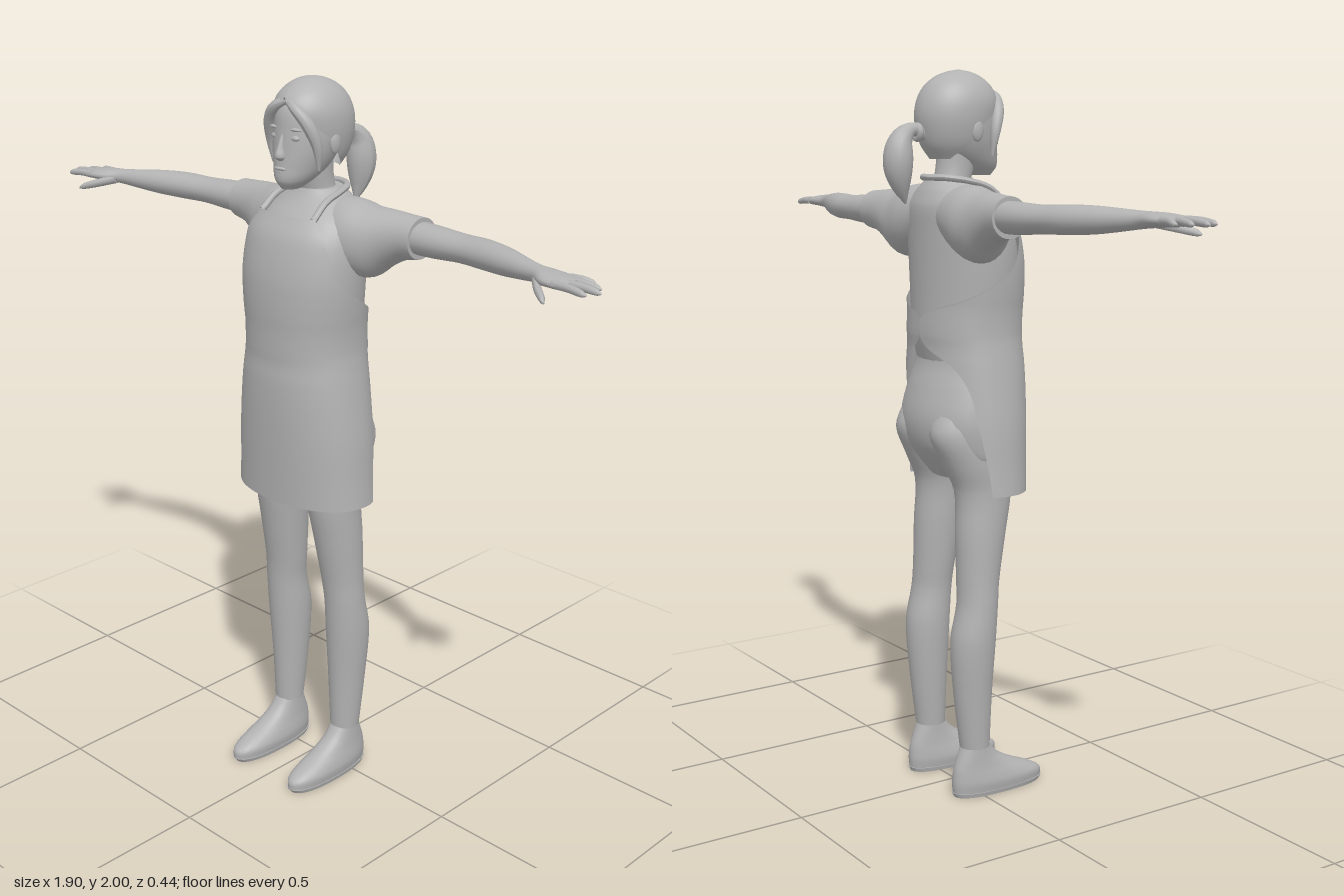
import * as THREE from 'three';

const clay = new THREE.MeshStandardMaterial({ color: 0xb2b2b2, side: THREE.DoubleSide });
clay.name = 'clay grey';

// Smoothly fills in rows between key sections; column 0 is the position along the axis
function refine(keys, steps) {
  const slope = (i, k) => {
    const a = keys[Math.max(i - 1, 0)], b = keys[Math.min(i + 1, keys.length - 1)];
    return (b[k] - a[k]) / (b[0] - a[0]);
  };
  const rows = [];
  for (let i = 0; i < keys.length - 1; i++) {
    const d = keys[i + 1][0] - keys[i][0];
    for (let s = 0; s < steps; s++) {
      const u = s / steps, u2 = u * u, u3 = u2 * u;
      rows.push(keys[i].map((v, k) => k === 0 ? v + d * u :
        (2 * u3 - 3 * u2 + 1) * v + (u3 - 2 * u2 + u) * d * slope(i, k)
        + (3 * u2 - 2 * u3) * keys[i + 1][k] + (u3 - u2) * d * slope(i + 1, k)));
    }
  }
  rows.push(keys[keys.length - 1]);
  return rows;
}

// Lofts ellipses along y: [y, cx, cz, rx, rz, halfAngle?], or along x: [x, cz, cy, rz, ry].
// A half angle leaves the shell open; facing is the angle of its middle.
function loft(keys, { axis = 'y', sides = 28, steps = 4, power = 1, facing = 0 } = {}) {
  const rows = refine(keys, steps), open = keys[0].length > 5;
  const pos = [], index = [], n = open ? sides + 1 : sides;
  const put = (p, t, q) => axis === 'y' ? pos.push(p, t, q) : pos.push(t, q, p);
  const bend = v => Math.sign(v) * Math.abs(v) ** power;
  const ring = ([t, a, b, ra, rb, half]) => {
    for (let j = 0; j < n; j++) {
      const h = Math.min(half ?? Math.PI, Math.PI);
      const th = facing + (open ? -h + 2 * h * j / sides : 2 * Math.PI * j / sides);
      put(a + ra * bend(Math.sin(th)), t, b + rb * bend(Math.cos(th)));
    }
  };
  rows.forEach(ring);
  for (let i = 0; i < rows.length - 1; i++) {
    for (let j = 0; j < sides; j++) {
      const a = i * n + j, b = i * n + (j + 1) % n;
      index.push(a, b, b + n, a, b + n, a + n);
    }
  }
  if (!open) {
    // Flat end caps with their own vertices, for a crisp rim
    [rows[0], rows[rows.length - 1]].forEach((row, end) => {
      const start = pos.length / 3;
      ring(row);
      put(row[1], row[0], row[2]);
      for (let j = 0; j < n; j++) {
        const a = start + j, b = start + (j + 1) % n;
        index.push(start + n, end ? a : b, end ? b : a);
      }
    });
  }
  const g = new THREE.BufferGeometry();
  g.setAttribute('position', new THREE.Float32BufferAttribute(pos, 3));
  g.setIndex(index);
  g.computeVertexNormals();
  return g;
}

// Tube along a smooth path whose thickness follows radius(u)
function sweep(points, radius, sides = 14, n = 24) {
  const curve = new THREE.CatmullRomCurve3(points.map(p => new THREE.Vector3(...p)));
  const g = new THREE.TubeGeometry(curve, n, 1, sides), p = g.attributes.position;
  const v = new THREE.Vector3();
  for (let i = 0; i < p.count; i++) {
    const u = Math.floor(i / (sides + 1)) / n, c = curve.getPointAt(u);
    v.fromBufferAttribute(p, i).sub(c).multiplyScalar(radius(u)).add(c);
    p.setXYZ(i, v.x, v.y, v.z);
  }
  g.computeVertexNormals();
  return g;
}

function ball(x, y, z, rx, ry, rz) {
  return new THREE.SphereGeometry(1, 16, 12).scale(rx, ry, rz).translate(x, y, z);
}

function mirrored(geometry) {
  const g = geometry.clone().scale(-1, 1, 1), ix = g.index;
  for (let i = 0; i < ix.count; i += 3) {
    const a = ix.getX(i);
    ix.setX(i, ix.getX(i + 1));
    ix.setX(i + 1, a);
  }
  g.computeVertexNormals();
  return g;
}

export function createModel() {
  const model = new THREE.Group();
  model.name = 'womanInApron';
  const add = (name, geometry) => {
    const mesh = new THREE.Mesh(geometry, clay);
    mesh.name = name;
    model.add(mesh);
  };
  const pair = (name, geometry) => {
    add(name + 'Left', geometry);
    add(name + 'Right', mirrored(geometry));
  };

  // Head and face
  add('head', loft([[1.722, 0, .085, .022, .03], [1.745, 0, .07, .046, .06], [1.78, 0, .045, .066, .083],
    [1.82, 0, .03, .08, .094], [1.87, 0, .015, .087, .104], [1.92, 0, .01, .084, .1], [1.965, 0, .01, .06, .07]]));
  add('neck', loft([[1.65, 0, -.02, .065, .06], [1.7, 0, -.01, .05, .052], [1.75, 0, .003, .047, .055], [1.81, 0, .01, .05, .06]]));
  add('nose', loft([[1.797, 0, .12, .009, .009], [1.807, 0, .124, .015, .017], [1.83, 0, .122, .009, .012], [1.865, 0, .113, .006, .007]], { sides: 12 }));
  add('upperLip', ball(0, 1.777, .126, .021, .005, .007));
  add('lowerLip', ball(0, 1.768, .122, .017, .005, .008));
  pair('eye', ball(.034, 1.855, .106, .015, .008, .009));
  pair('brow', ball(.035, 1.877, .106, .021, .005, .008));
  pair('ear', ball(.088, 1.84, .015, .01, .03, .018));

  // Hair: cap open at the face, parted locks and a ponytail
  add('hairCap', loft([[1.765, 0, 0, .058, .07, .9], [1.8, 0, 0, .08, .095, 1.5], [1.84, 0, 0, .092, .108, 1.7],
    [1.88, 0, .003, .097, .116, 2.2], [1.92, 0, .008, .094, .114, 2.65], [1.955, 0, .01, .079, .097, 3.14],
    [1.98, 0, .011, .055, .068, 3.14], [1.994, 0, .012, .03, .035, 3.14], [2, 0, .012, .002, .002, 3.14]],
  { facing: Math.PI, sides: 36 }));
  pair('frontLock', sweep([[.004, 1.945, .1], [.035, 1.93, .107], [.066, 1.895, .095], [.083, 1.84, .077], [.082, 1.775, .068]],
    u => .004 + .013 * Math.sin(Math.PI * (.12 + .88 * u))));
  add('hairTie', new THREE.TorusGeometry(.017, .009, 8, 16).translate(0, 1.835, -.118));
  add('ponytail', sweep([[0, 1.83, -.095], [0, 1.843, -.135], [0, 1.815, -.168], [0, 1.755, -.178], [0, 1.695, -.17], [0, 1.648, -.155]],
    u => u < .18 ? .018 : .018 + .03 * Math.sin(Math.PI * (u - .18) / .82) - .016 * (u - .18) / .82));

  // Shirt
  add('shirt', loft([[1.22, 0, .015, .15, .1], [1.3, 0, .028, .155, .133], [1.4, 0, .03, .165, .138], [1.5, 0, .028, .172, .138],
    [1.58, 0, .018, .17, .13], [1.64, 0, 0, .155, .112], [1.68, 0, -.012, .115, .086], [1.7, 0, -.015, .085, .072], [1.715, 0, -.015, .065, .062]], { sides: 36 }));
  pair('sleeve', loft([[.05, -.02, 1.62, .08, .075], [.13, -.023, 1.6, .09, .098], [.19, -.03, 1.592, .08, .094],
    [.24, -.04, 1.608, .066, .074], [.285, -.046, 1.618, .058, .06], [.33, -.05, 1.621, .056, .054]], { axis: 'x' }));

  // Arms and hands
  pair('arm', loft([[.28, -.05, 1.622, .048, .043], [.38, -.05, 1.621, .048, .041], [.47, -.045, 1.622, .044, .036],
    [.55, -.033, 1.624, .045, .037], [.63, -.01, 1.626, .04, .034], [.7, .014, 1.628, .031, .027],
    [.755, .032, 1.63, .027, .021], [.8, .045, 1.631, .044, .018], [.85, .05, 1.63, .045, .014], [.872, .05, 1.629, .038, .01]], { axis: 'x', sides: 20 }));
  const fingers = [['littleFinger', .012, .003, .9], ['ringFinger', .036, .027, .93], ['middleFinger', .06, .057, .95], ['indexFinger', .083, .092, .935]];
  for (const [name, z0, z1, tip] of fingers) {
    pair(name, loft([[.835, z0, 1.631, .011, .011], [(.835 + tip) / 2, (z0 + z1) / 2, 1.631, .01, .01],
      [tip - .012, z1, 1.627, .008, .008], [tip, z1, 1.625, .002, .002]], { axis: 'x', sides: 10 }));
  }
  pair('thumb', loft([[.762, .05, 1.625, .014, .013], [.8, .09, 1.613, .014, .012], [.835, .118, 1.602, .01, .009], [.846, .126, 1.597, .003, .003]], { axis: 'x', sides: 10 }));

  // Trousers
  add('hips', loft([[.9, 0, .01, .1, .06], [.95, 0, .003, .165, .092], [1, 0, -.008, .177, .112], [1.07, 0, -.014, .178, .116],
    [1.15, 0, 0, .168, .112], [1.22, 0, .012, .155, .1], [1.3, 0, .02, .15, .1]]));
  pair('trouserLeg', loft([[.14, .115, -.008, .041, .043], [.3, .115, -.015, .051, .056], [.45, .117, -.015, .06, .065],
    [.55, .117, -.002, .058, .058], [.62, .112, .003, .06, .06], [.75, .106, .015, .066, .072], [.87, .1, .027, .07, .083],
    [.95, .092, .008, .08, .1], [1.03, .085, -.014, .08, .114], [1.1, .08, -.01, .07, .095]]));

  // Shoes: sole, then the upper rising to the ankle
  pair('sole', loft([[0, .115, .068, .046, .142], [.012, .115, .07, .049, .149]], { steps: 1, power: .85 }));
  pair('shoe', loft([[.012, .115, .07, .047, .147], [.035, .115, .067, .05, .146], [.055, .115, .05, .047, .128],
    [.08, .115, .022, .041, .096], [.11, .115, .001, .037, .064], [.15, .115, -.008, .034, .037]], { power: .9 }));

  // Apron: front panel, waist wrap meeting at the back, and a bib
  add('apron', loft([[.87, 0, .03, .218, .14, 1.86], [.95, 0, .031, .212, .142, 1.93], [1.05, 0, .032, .206, .145, 2.06],
    [1.15, 0, .034, .194, .146, 2.2], [1.22, 0, .034, .184, .146, 2.5], [1.265, 0, .033, .177, .144, 3.0],
    [1.3, 0, .032, .173, .146, 3.14], [1.355, 0, .033, .173, .146, 3.05], [1.4, 0, .034, .177, .147, 2.2],
    [1.45, 0, .034, .181, .147, 1.6], [1.5, 0, .032, .183, .146, 1.25], [1.56, 0, .026, .181, .141, 1.03],
    [1.61, 0, .016, .176, .135, .85], [1.655, 0, .004, .155, .118, .65]], { sides: 48, power: .92 }));
  const half = [[.094, 1.652, .1], [.09, 1.69, .052], [.082, 1.708, -.01], [.06, 1.716, -.06]];
  add('neckStrap', sweep([...half, [0, 1.717, -.085], ...half.map(([x, y, z]) => [-x, y, z]).reverse()], () => .009, 8, 40));

  return model;
}
